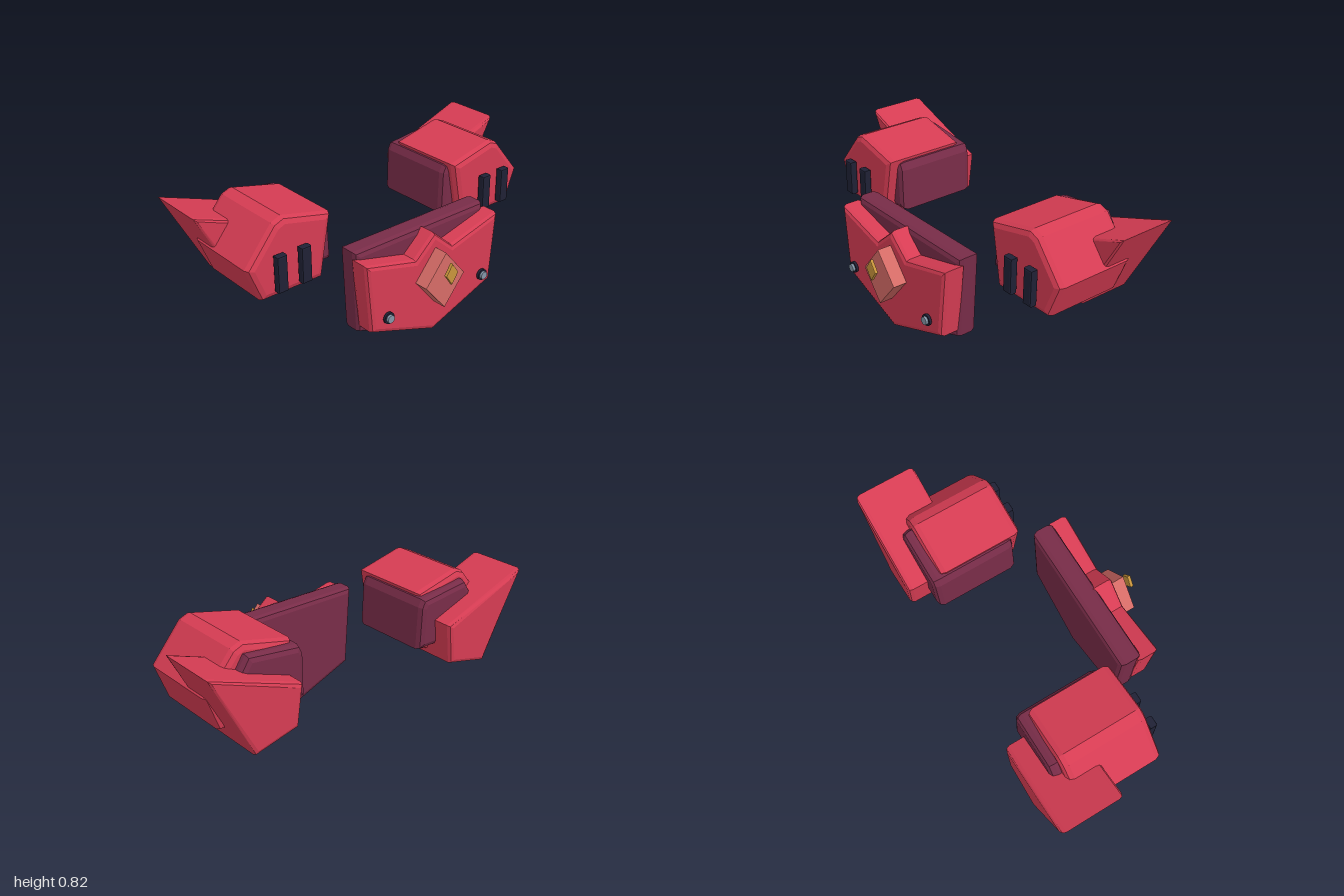
import * as THREE from 'three';

const paint = (name, color) => {
  const m = new THREE.MeshStandardMaterial({ color });
  m.name = name;
  return m;
};

// Bevelled plate whose outer outline is exactly pts, between z0 and z1
function plate(name, pts, z0, z1, bevel, depthBevel, material) {
  const shape = new THREE.Shape(pts.map(([x, y]) => new THREE.Vector2(x, y)));
  const geo = new THREE.ExtrudeGeometry(shape, {
    depth: z1 - z0 - 2 * depthBevel,
    bevelEnabled: true,
    bevelSize: bevel,
    bevelOffset: -bevel,
    bevelThickness: depthBevel,
    bevelSegments: 2,
  });
  geo.translate(0, 0, z0 + depthBevel);
  const mesh = new THREE.Mesh(geo, material);
  mesh.name = name;
  return mesh;
}

// Outline mirrored across x = 0; the right-hand points run from top to bottom
const mirrored = (pts) => [
  ...pts,
  ...pts.filter(([x]) => x > 0).reverse().map(([x, y]) => [-x, y]),
];
const mirrorX = (pts, side) => pts.map(([x, y]) => [x * side, y]);
const diamond = (cy, w, h) => [[0, cy + h], [w, cy], [0, cy - h], [-w, cy]];

function disc(name, radius, z0, z1, x, y, material) {
  const geo = new THREE.CylinderGeometry(radius, radius, z1 - z0, 16);
  geo.rotateX(Math.PI / 2);
  const mesh = new THREE.Mesh(geo, material);
  mesh.position.set(x, y, (z0 + z1) / 2);
  mesh.name = name;
  return mesh;
}

export function createModel() {
  const red = paint('armour red', 0xd63c53);
  const maroon = paint('lining maroon', 0x782c48);
  const salmon = paint('gem salmon', 0xd66c67);
  const gold = paint('gold', 0xc8943c);
  const dark = paint('vent dark', 0x1f2135);
  const steel = paint('rivet steel', 0x8496a8);

  const model = new THREE.Group();
  model.name = 'armourSet';

  // Chest: lining, front plate, gem and its inlay
  const chest = new THREE.Group();
  chest.name = 'chest';
  chest.add(
    plate('chestLining', mirrored([[0, 0.615], [0.43, 0.615], [0.41, 0.165], [0, 0]]),
      0.18, 0.305, 0.028, 0.03, maroon),
    plate('chestPlate', mirrored([[0, 0.617], [0.125, 0.507], [0.442, 0.587], [0.408, 0.205], [0, 0.056]]),
      0.275, 0.4, 0.025, 0.025, red),
    plate('chestGem', diamond(0.385, 0.13, 0.156), 0.398, 0.478, 0.004, 0.004, salmon),
    plate('gemInlay', diamond(0.44, 0.041, 0.06), 0.506, 0.526, 0.006, 0.006, gold),
  );
  model.add(chest);

  for (const side of [1, -1]) {
    // Chest rivets
    chest.add(
      disc('rivetRing', 0.031, 0.413, 0.427, side * 0.322, 0.273, dark),
      disc('rivetHead', 0.021, 0.427, 0.44, side * 0.322, 0.273, steel),
    );

    // Shoulder: shell, lining and swept fin
    const shoulder = new THREE.Group();
    shoulder.name = side > 0 ? 'leftShoulder' : 'rightShoulder';
    const shell = [[0.412, 0.757], [0.475, 0.42], [0.835, 0.42], [0.907, 0.605], [0.745, 0.8], [0.69, 0.822]];
    const lining = [[0.405, 0.74], [0.385, 0.7], [0.378, 0.468], [0.76, 0.468], [0.8, 0.62], [0.7, 0.775]];
    const fin = [[1, 0.802], [0.478, 0.615], [0.505, 0.395], [0.755, 0.335]];
    shoulder.add(
      plate('shoulderShell', mirrorX(shell, side), -0.362, 0.107, 0.033, 0.035, red),
      plate('shoulderLining', mirrorX(lining, side), -0.416, 0.052, 0.03, 0.035, maroon),
      plate('shoulderFin', mirrorX(fin, side), -0.525, -0.188, 0.022, 0.025, red),
    );

    // Front vents
    for (const x of [0.608, 0.748]) {
      const cx = side * x, w = 0.028;
      shoulder.add(plate('shoulderVent',
        [[cx - w, 0.468], [cx + w, 0.468], [cx + w, 0.66], [cx - w, 0.66]],
        0.12, 0.162, 0.008, 0.008, dark));
    }
    model.add(shoulder);
  }
  return model;
}
